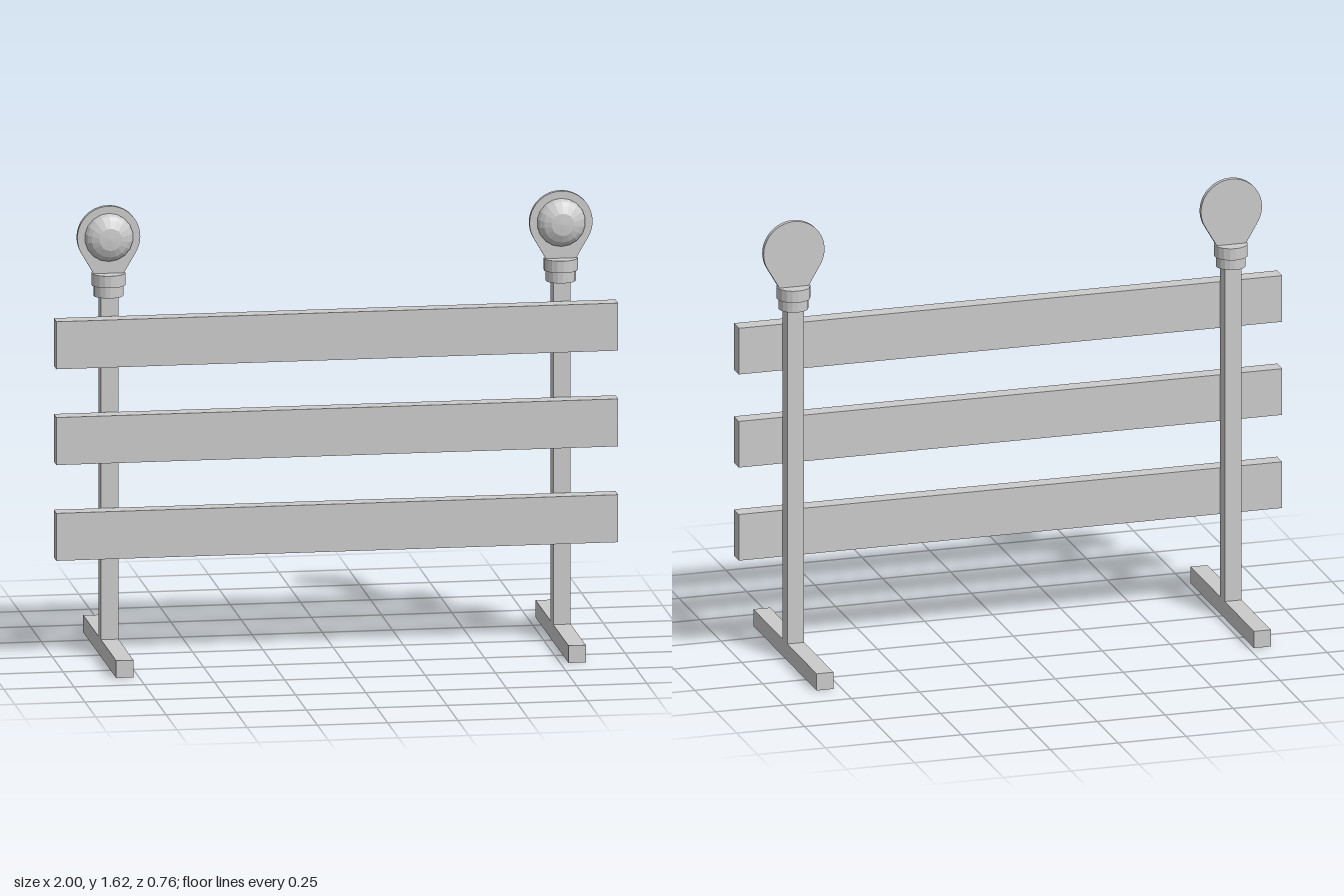
import * as THREE from 'three';

const mat = new THREE.MeshStandardMaterial({ color: 0xcccccc, flatShading: true });

function add(parent, name, geometry, x, y, z) {
  const mesh = new THREE.Mesh(geometry, mat);
  mesh.name = name;
  mesh.position.set(x, y, z);
  parent.add(mesh);
  return mesh;
}

// Box given by its size and the height of its underside
function box(parent, name, w, h, d, y0, z = 0) {
  return add(parent, name, new THREE.BoxGeometry(w, h, d), 0, y0 + h / 2, z);
}

// Teardrop plate: round head whose sides run tangentially down to a narrow foot
function lampPlate() {
  const r = 0.112, drop = 0.145, half = 0.045, depth = 0.018;
  const a = Math.atan2(-drop, half) + Math.acos(r / Math.hypot(half, drop));
  const shape = new THREE.Shape();
  shape.moveTo(-half, -drop);
  shape.lineTo(half, -drop);
  shape.lineTo(r * Math.cos(a), r * Math.sin(a));
  shape.absarc(0, 0, r, a, Math.PI - a, false);
  shape.closePath();
  return new THREE.ExtrudeGeometry(shape, { depth, bevelEnabled: false, curveSegments: 20 })
    .translate(0, 0, -depth / 2);
}

// Faceted lens, domed towards +z
function lampLens() {
  const profile = [[0.086, 0], [0.086, 0.016], [0.079, 0.03], [0.066, 0.042], [0.04, 0.054], [0, 0.057]];
  return new THREE.LatheGeometry(profile.map(([r, h]) => new THREE.Vector2(r, h)), 18)
    .rotateX(Math.PI / 2);
}

// Foot, post, collar and warning lamp
function support(name, x) {
  const g = new THREE.Group();
  g.name = name;
  g.position.x = x;
  box(g, 'foot', 0.062, 0.062, 0.756, 0);
  box(g, 'post', 0.062, 1.248, 0.058, 0.062);
  add(g, 'lowerCollar', new THREE.CylinderGeometry(0.053, 0.053, 0.04, 18), 0, 1.315, 0);
  add(g, 'upperCollar', new THREE.CylinderGeometry(0.06, 0.06, 0.043, 18), 0, 1.355, 0);
  add(g, 'lampPlate', lampPlate(), 0, 1.506, 0);
  add(g, 'lampLens', lampLens(), 0, 1.506, 0);
  return g;
}

export function createModel() {
  const model = new THREE.Group();
  model.name = 'barricade';
  model.add(support('rightSupport', -0.8), support('leftSupport', 0.81));

  // Three planks across the front of the posts
  ['lowerPlank', 'middlePlank', 'upperPlank'].forEach((name, i) => {
    box(model, name, 2, 0.171, 0.06, 0.366 + i * 0.345, 0.065);
  });
  return model;
}
